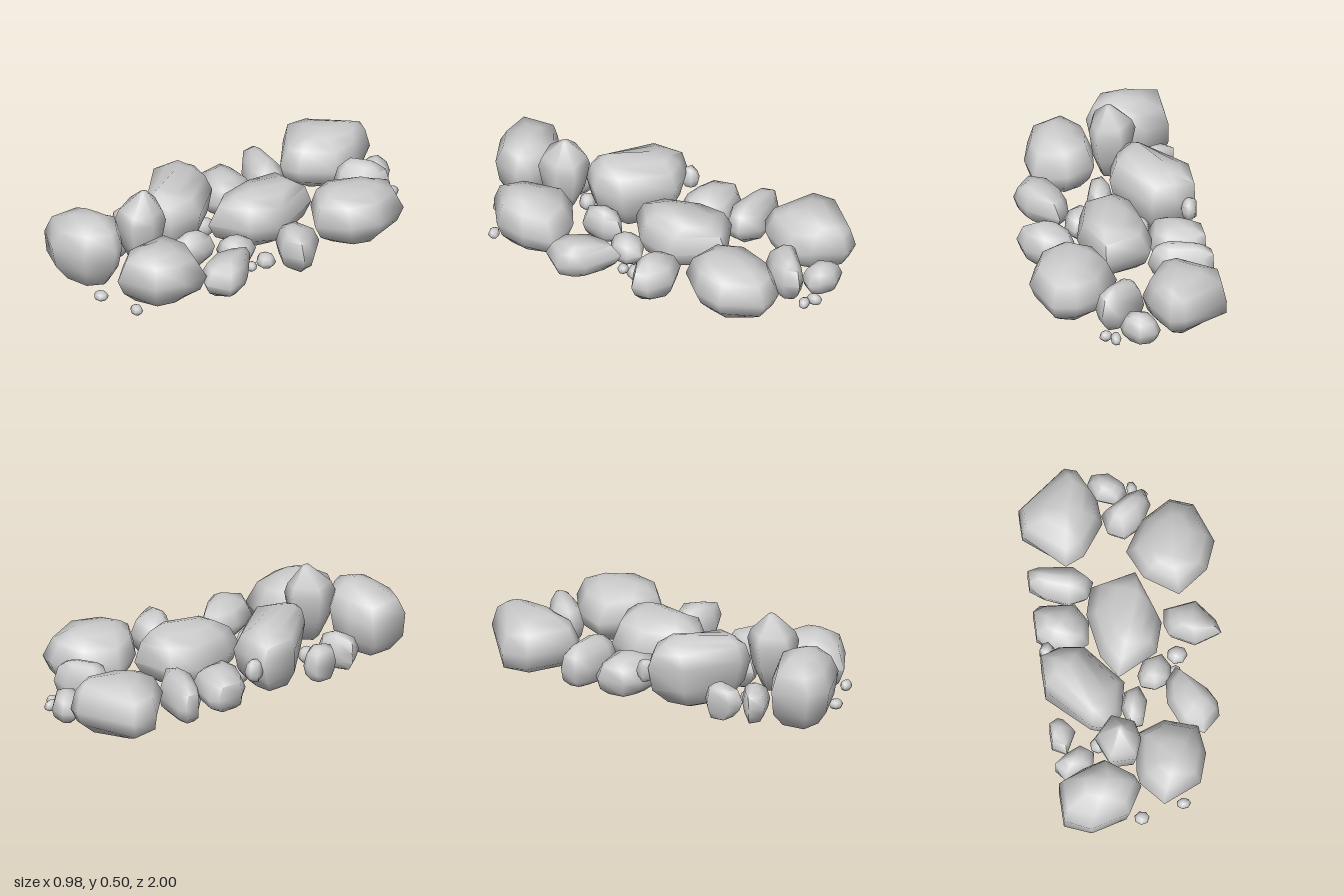
import * as THREE from 'three';
import { toCreasedNormals } from 'three/addons/utils/BufferGeometryUtils.js';

const material = new THREE.MeshStandardMaterial({ color: 0xcccccc });
const CUT = -0.49; // the whole pile is sliced flat along this side

// [height fraction, outline scale] from the small foot to the summit
const ROUNDED = [[0, 0], [0, 0.38], [0.05, 0.58], [0.22, 0.86], [0.47, 1], [0.8, 0.78], [0.93, 0.42], [1, 0]];
const HIGH = [[0, 0], [0, 0.38], [0.05, 0.58], [0.3, 0.88], [0.62, 1], [0.84, 0.78], [0.94, 0.42], [1, 0]];
const POINTED = [[0, 0], [0, 0.4], [0.25, 0.8], [0.6, 1], [0.72, 0.86], [0.98, 0.15], [1, 0]];

// Small repeatable variation between -1 and 1
function makeNoise(seed) {
  let s = seed * 7919 + 17;
  return () => {
    s = (s * 16807) % 2147483647;
    return (s / 2147483647) * 2 - 1;
  };
}

// A boulder: plan outline [x, z] scaled through a height profile.
// One peak makes a summit, two peaks make a ridge.
function rockGeometry({ plan, y0 = 0, y1, peaks, profile = ROUNDED }, seed) {
  const noise = makeNoise(seed);
  const n = plan.length;
  const cx = plan.reduce((s, p) => s + p[0], 0) / n;
  const cz = plan.reduce((s, p) => s + p[1], 0) / n;
  const angle = (p) => Math.atan2(p[1] - cz, p[0] - cx);
  const outline = [...plan].sort((a, b) => angle(a) - angle(b));
  const nearestPeak = ([x, z]) => [...(peaks || [[cx, cz]])]
    .sort((a, b) => Math.hypot(a[0] - x, a[1] - z) - Math.hypot(b[0] - x, b[1] - z))[0];
  const tops = outline.map(nearestPeak);
  const wobble = outline.map(noise);
  const positions = [];
  const index = [];
  profile.forEach(([t, s]) => {
    const lean = THREE.MathUtils.smoothstep(t, 0.45, 0.85);
    outline.forEach(([x, z], i) => {
      const ax = THREE.MathUtils.lerp(cx, tops[i][0], lean);
      const az = THREE.MathUtils.lerp(cz, tops[i][1], lean);
      const wide = x <= CUT ? x - 0.04 : x;
      const h = t > 0.1 && t < 0.9 ? t + 0.05 * wobble[i] : t;
      positions.push(
        Math.max(CUT, ax + (wide - ax) * s),
        y0 + (y1 - y0) * h,
        az + (z - az) * s
      );
    });
  });
  for (let j = 0; j < profile.length - 1; j++) {
    for (let i = 0; i < n; i++) {
      const a = j * n + i, b = j * n + ((i + 1) % n);
      index.push(a, a + n, b + n);
      if (j > 0) index.push(a, b + n, b);
    }
  }
  const geometry = new THREE.BufferGeometry();
  geometry.setAttribute('position', new THREE.Float32BufferAttribute(positions, 3));
  geometry.setIndex(index);
  return toCreasedNormals(geometry, 1.4);
}

const ROCKS = {
  backBoulder: { y1: 0.31, peaks: [[-0.2, -0.88], [-0.25, -0.73]], plan: [[-0.49, -0.82], [-0.24, -1],
    [-0.16, -0.98], [-0.08, -0.81], [-0.07, -0.69], [-0.19, -0.52], [-0.29, -0.48], [-0.49, -0.67]] },
  backStone: { y1: 0.17, plan: [[-0.12, -0.93], [-0.09, -0.98], [0, -0.98], [0.07, -0.91],
    [0.08, -0.86], [0.03, -0.8], [-0.08, -0.84]] },
  backInnerStone: { y1: 0.26, peaks: [[0.09, -0.77], [0.02, -0.72]], plan: [[-0.07, -0.74], [0.08, -0.83],
    [0.17, -0.84], [0.19, -0.76], [0.13, -0.66], [0.03, -0.6], [-0.05, -0.64]] },
  backLeftBoulder: { y1: 0.31, peaks: [[0.25, -0.41], [0.28, -0.55]], plan: [[0.03, -0.52], [0.13, -0.68],
    [0.29, -0.77], [0.41, -0.73], [0.49, -0.51], [0.43, -0.36], [0.27, -0.25], [0.1, -0.36]] },
  rightBackStone: { y1: 0.24, peaks: [[-0.38, -0.41], [-0.28, -0.39]], plan: [[-0.49, -0.48], [-0.45, -0.5],
    [-0.25, -0.48], [-0.16, -0.38], [-0.2, -0.3], [-0.3, -0.28], [-0.43, -0.34], [-0.49, -0.4]] },
  rightMiddleStone: { y1: 0.22, plan: [[-0.49, -0.27], [-0.45, -0.3], [-0.27, -0.28], [-0.21, -0.18],
    [-0.23, -0.05], [-0.32, -0.01], [-0.43, -0.05], [-0.49, -0.12]] },
  centreBoulder: { y1: 0.32, peaks: [[0.05, -0.23], [-0.01, -0.06]], plan: [[-0.22, -0.2], [-0.18, -0.34],
    [0.06, -0.4], [0.16, -0.11], [0.11, 0.06], [-0.1, 0.16], [-0.18, 0.04]] },
  leftMiddleStone: { y1: 0.24, peaks: [[0.31, -0.06]], plan: [[0.17, -0.1], [0.18, -0.19], [0.35, -0.21],
    [0.44, -0.1], [0.46, -0.02], [0.32, 0.02], [0.19, -0.05]] },
  rightLongBoulder: { y1: 0.38, peaks: [[-0.36, 0.14], [-0.26, 0.36]], profile: HIGH, plan: [[-0.49, 0.02],
    [-0.39, -0.01], [-0.26, 0], [-0.08, 0.23], [-0.12, 0.4], [-0.2, 0.47], [-0.28, 0.45], [-0.49, 0.22]] },
  innerStone: { y1: 0.16, plan: [[0, 0.14], [0.04, 0.06], [0.14, 0.04], [0.18, 0.11], [0.16, 0.2],
    [0.08, 0.23], [0.01, 0.2]] },
  leftFrontStone: { y1: 0.21, peaks: [[0.3, 0.34]], plan: [[0.13, 0.32], [0.14, 0.2], [0.2, 0.13], [0.35, 0.27],
    [0.39, 0.35], [0.39, 0.42], [0.3, 0.51], [0.19, 0.46]] },
  innerFrontStone: { y1: 0.2, plan: [[-0.11, 0.32], [-0.08, 0.23], [0, 0.2], [0.03, 0.29], [-0.01, 0.42],
    [-0.08, 0.43]] },
  rightFrontStone: { y1: 0.2, plan: [[-0.49, 0.36], [-0.45, 0.33], [-0.41, 0.34], [-0.36, 0.41],
    [-0.42, 0.53], [-0.49, 0.49]] },
  rightFrontSmallStone: { y1: 0.2, plan: [[-0.49, 0.6], [-0.44, 0.54], [-0.34, 0.49], [-0.28, 0.54],
    [-0.3, 0.63], [-0.45, 0.67]] },
  topStone: { y0: 0.08, y1: 0.5, peaks: [[-0.14, 0.56]], profile: POINTED, plan: [[-0.28, 0.55], [-0.18, 0.44],
    [-0.06, 0.48], [-0.04, 0.58], [-0.08, 0.69], [-0.22, 0.69]] },
  frontLeftBoulder: { y1: 0.33, peaks: [[0.12, 0.71]], plan: [[-0.08, 0.69], [-0.05, 0.49], [0.1, 0.43],
    [0.27, 0.48], [0.29, 0.64], [0.24, 0.8], [0.04, 0.89], [-0.07, 0.76]] },
  frontRightBoulder: { y1: 0.395, peaks: [[-0.24, 0.8]], profile: HIGH, plan: [[-0.49, 0.73], [-0.36, 0.67],
    [-0.24, 0.64], [-0.1, 0.74], [-0.07, 0.81], [-0.15, 0.95], [-0.36, 1], [-0.49, 0.94]] },
};

// Pebbles: x, z, radius along x, radius along z, bottom, top
const PEBBLES = [
  [-0.08, 0.9, 0.04, 0.038, 0, 0.05], [0.145, 0.85, 0.038, 0.03, 0, 0.055], [0.22, 0.04, 0.055, 0.05, 0, 0.08],
  [-0.22, 0.08, 0.04, 0.055, 0, 0.1], [0.2, 0.12, 0.03, 0.03, 0, 0.05], [-0.45, -0.01, 0.042, 0.055, 0.13, 0.25],
  [0.11, -0.9, 0.028, 0.042, 0, 0.06], [0.155, -0.86, 0.035, 0.03, 0, 0.055], [-0.25, 0.48, 0.045, 0.045, 0, 0.09],
];

export function createModel() {
  const group = new THREE.Group();
  group.name = 'rockPile';
  const add = (name, rock, seed) => {
    const mesh = new THREE.Mesh(rockGeometry(rock, seed), material);
    mesh.name = name;
    group.add(mesh);
  };

  Object.entries(ROCKS).forEach(([name, rock], i) => add(name, rock, i + 1));

  PEBBLES.forEach(([x, z, rx, rz, y0, y1], i) => {
    const plan = Array.from({ length: 7 }, (_, k) => {
      const a = (k / 7) * Math.PI * 2 + i;
      return [x + Math.cos(a) * rx, z + Math.sin(a) * rz];
    });
    add(`pebble${i + 1}`, { plan, y0, y1 }, i + 40);
  });
  return group;
}
